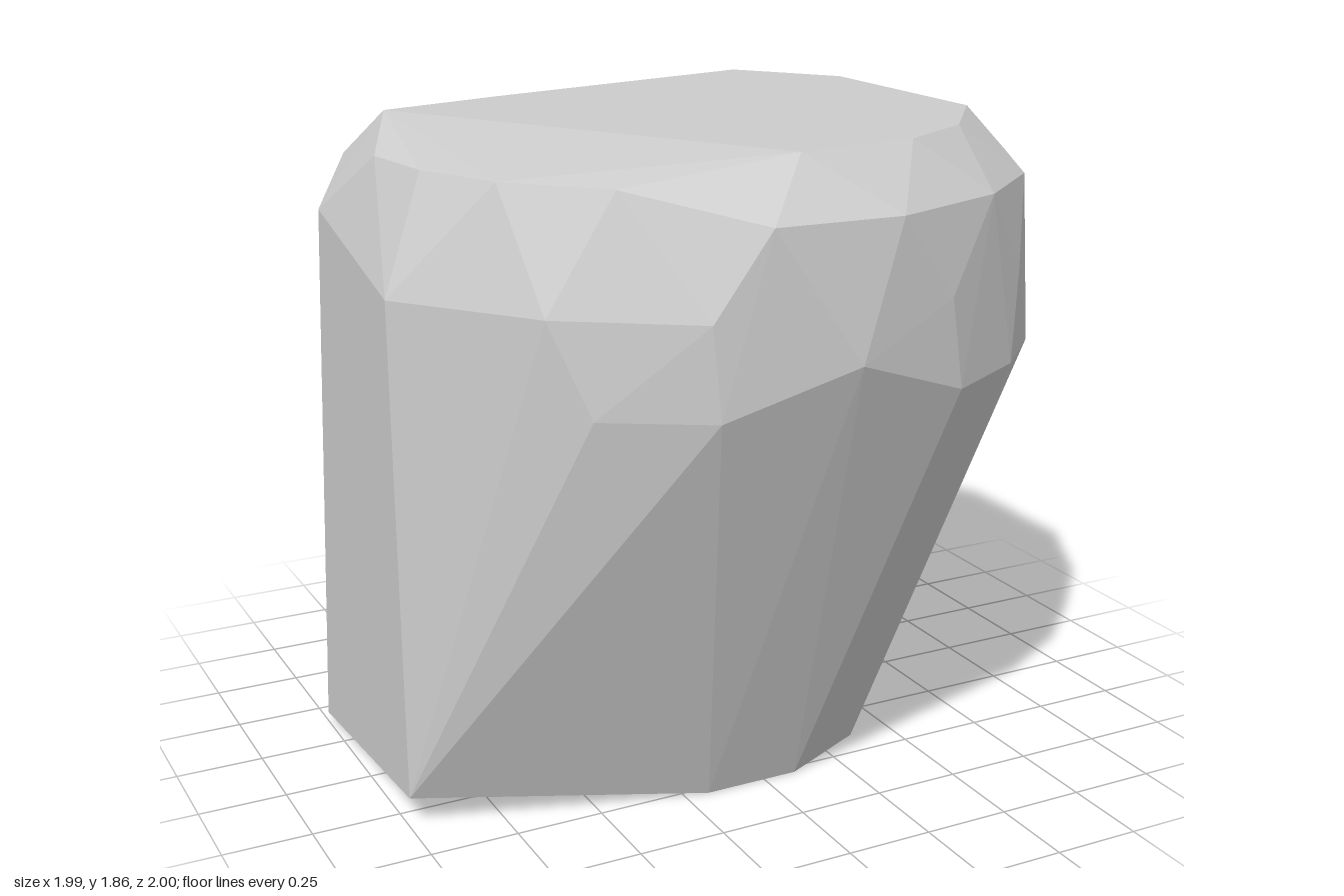
import * as THREE from 'three';
import { ConvexGeometry } from 'three/addons/geometries/ConvexGeometry.js';

// Faceted stone: a tapering gem-like block described by level rings of [x, z] corners.
export function createModel() {
  const group = new THREE.Group();
  group.name = 'stone';
  const stone = new THREE.MeshStandardMaterial({ color: 0xcccccc });
  stone.name = 'pale grey stone';

  const levels = [
    // narrow foot
    { y: 0, ring: [[-0.18, 0.53], [0.1, 0.53], [0.37, 0.4], [0.52, 0.1], [0.45, -0.29], [0.04, -0.53]] },
    // widest girdle
    { y: 1.23, ring: [[-0.63, 0.77], [-0.36, 0.93], [0.34, 0.935], [0.6, 0.79], [0.79, 0.6], [0.92, 0.37],
      [0.98, -0.02], [0.92, -0.38], [0.79, -0.6], [0.56, -0.82], [0.39, -0.91], [0.13, -0.985],
      [-0.19, -0.975], [-0.45, -0.885], [-0.68, -0.73]] },
    // upper girdle
    { y: 1.48, ring: [[-1, 0.32], [-0.72, 0.69], [-0.38, 0.92], [0.3, 0.94], [0.65, 0.74], [0.9, 0.41],
      [0.988, -0.02], [0.9, -0.41], [0.65, -0.74], [0.3, -0.945], [0, -1], [-0.38, -0.93], [-0.7, -0.72]] },
    // shoulder
    { y: 1.71, ring: [[-0.23, 0.95], [0.13, 0.965], [0.49, 0.83], [0.74, 0.62], [0.925, 0.27],
      [0.925, -0.27], [0.74, -0.62], [0.5, -0.84], [-0.82, -0.54]] },
    // rim of the worn top
    { y: 1.79, ring: [[-0.54, 0.72], [-0.76, 0.49], [-0.87, 0.25], [-0.905, 0], [0.88, 0],
      [0.17, -0.875], [-0.2, -0.875], [-0.55, -0.71]] },
    // flat top
    { y: 1.86, ring: [[-0.08, 0.81], [0.28, 0.76], [0.51, 0.63], [0.73, 0.35], [0.73, -0.34],
      [0.51, -0.63], [-0.77, -0.31]] },
  ];
  const corners = levels.flatMap(({ y, ring }) => ring.map(([x, z]) => new THREE.Vector3(x, y, z)));

  // single corners: front point and the sheer cut on the -x side
  corners.push(
    new THREE.Vector3(0, 1.35, 1),
    new THREE.Vector3(-1, 0.09, 0.34),
    new THREE.Vector3(-1, 0.03, -0.4),
    new THREE.Vector3(-0.975, 1.6, -0.3),
  );

  const body = new THREE.Mesh(new ConvexGeometry(corners), stone);
  body.name = 'stoneBody';
  group.add(body);
  return group;
}
